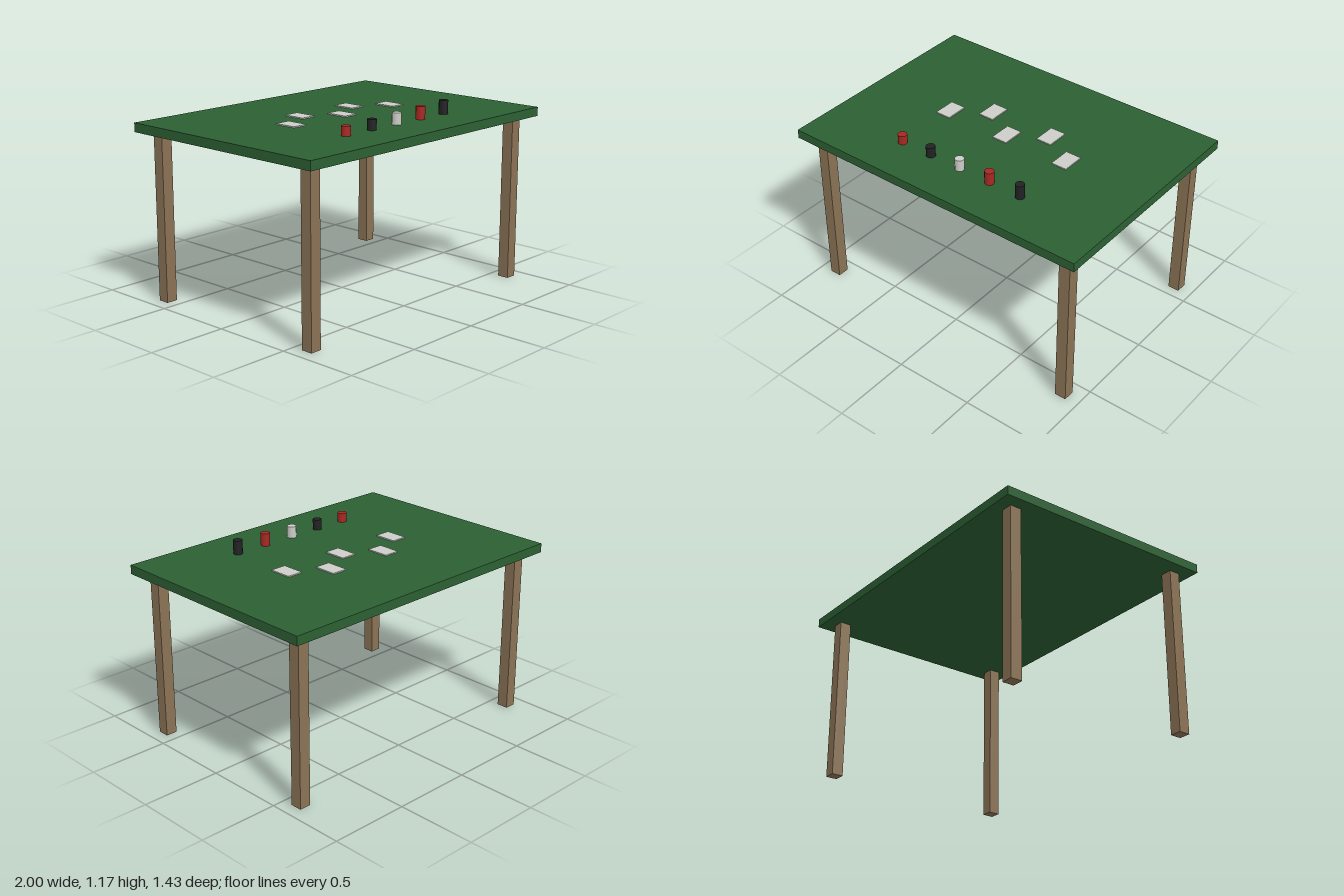
import * as THREE from 'three';

const paint = (name, color) => {
  const m = new THREE.MeshStandardMaterial({ color });
  m.name = name;
  return m;
};

export function createModel() {
  const felt = paint('green felt', 0x2c6033);
  const wood = paint('brown wood', 0x8b7355);
  const red = paint('red', 0xa82822);
  const black = paint('black', 0x222224);
  const white = paint('off white', 0xcdcdc9);

  const model = new THREE.Group();
  model.name = 'cardTable';
  const add = (name, geometry, material, x, y, z) => {
    const mesh = new THREE.Mesh(geometry, material);
    mesh.name = name;
    mesh.position.set(x, y, z);
    model.add(mesh);
  };

  const under = 1.031, surface = 1.087;

  // Table top
  add('tableTop', new THREE.BoxGeometry(2, surface - under, 1.428), felt, 0, (under + surface) / 2, 0);

  // Four square legs
  const leg = new THREE.BoxGeometry(0.072, under, 0.072);
  for (const x of [-0.886, 0.886])
    for (const z of [-0.6, 0.6]) add('leg', leg, wood, x, under / 2, z);

  // Five cards in a zigzag, with a row of growing chip stacks in front
  const card = new THREE.BoxGeometry(0.1, 0.007, 0.143);
  const chipColors = [red, black, white, red, black];
  chipColors.forEach((color, i) => {
    const x = (i - 2) * 0.2143;
    add('card', card, white, x, surface + 0.0035, i % 2 ? -0.143 : 0);

    const height = 0.057 + i * 0.0072;
    const stack = new THREE.CylinderGeometry(0.0286, 0.0286, height, 12);
    add('chipStack', stack, color, x, surface + height / 2, 0.4286);
  });

  return model;
}
